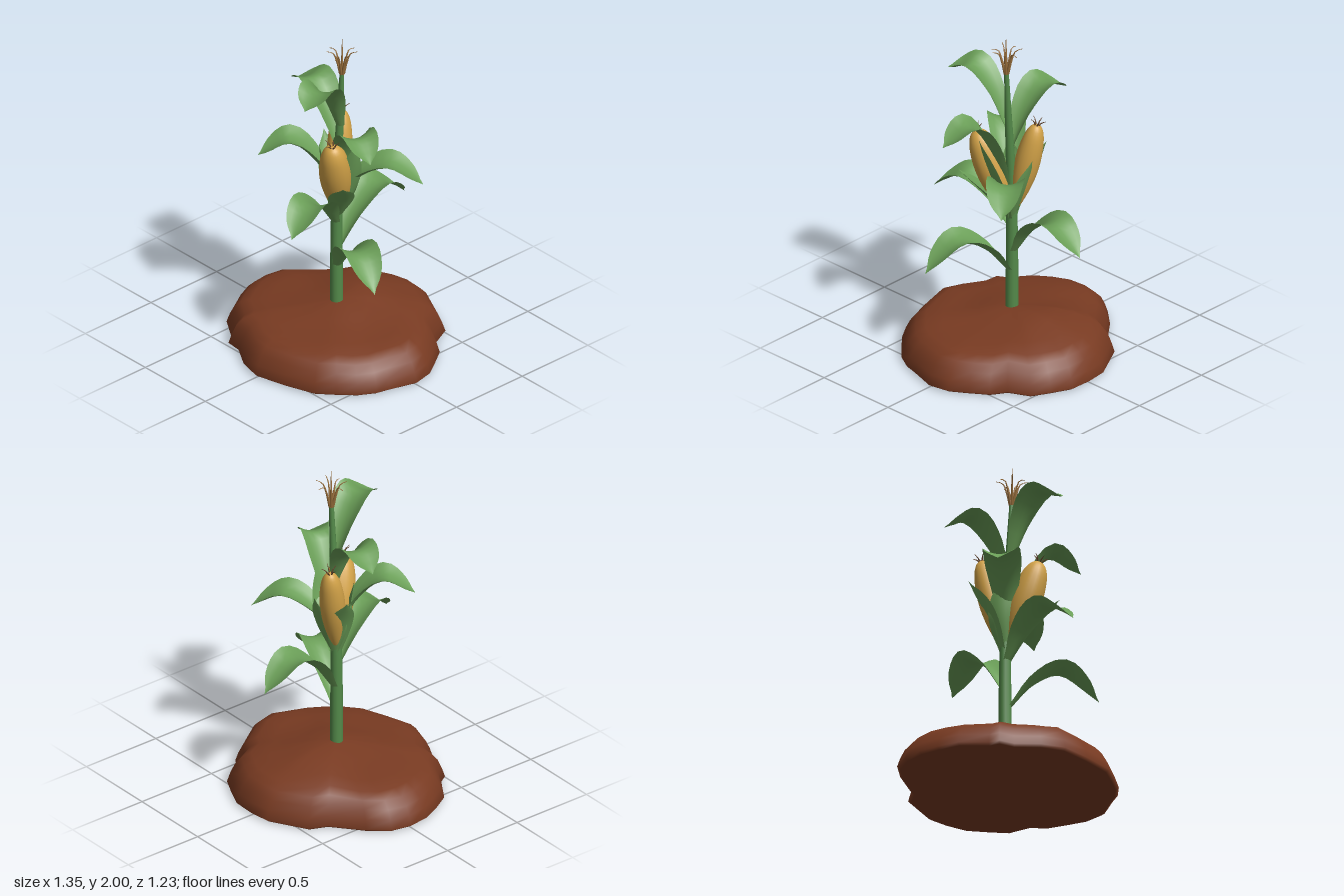
import * as THREE from 'three';

const V = (x, y, z) => new THREE.Vector3(x, y, z);
const mat = (name, color, side = THREE.FrontSide) =>
  Object.assign(new THREE.MeshStandardMaterial({ color, side }), { name });

const soilMat = mat('soil brown', 0x793b22);
const stalkMat = mat('stalk green', 0x548a4a);
const leafMat = mat('leaf green', 0x6b9f58, THREE.DoubleSide);
const earMat = mat('corn yellow', 0xd3a348);
const silkMat = mat('silk brown', 0x6b4a30);
const tasselMat = mat('tassel tan', 0xa0743f);

function mesh(name, geometry, material) {
  const m = new THREE.Mesh(geometry, material);
  m.name = name;
  return m;
}

// BufferGeometry from a grid of points, one row after another
function gridGeometry(rows, closed) {
  const n = rows[0].length, pos = [], index = [];
  rows.forEach(row => row.forEach(p => pos.push(p.x, p.y, p.z)));
  for (let r = 0; r < rows.length - 1; r++) {
    for (let i = 0; i < (closed ? n : n - 1); i++) {
      const j = (i + 1) % n;
      const a = r * n + i, b = r * n + j, c = a + n, d = b + n;
      index.push(a, c, b, b, c, d);
    }
  }
  const g = new THREE.BufferGeometry();
  g.setAttribute('position', new THREE.Float32BufferAttribute(pos, 3));
  g.setIndex(index);
  g.computeVertexNormals();
  return g;
}

// Tube whose radius follows a rule along its length
function taperTube(points, radius, seg, sides) {
  const curve = new THREE.CatmullRomCurve3(points);
  const g = new THREE.TubeGeometry(curve, seg, 1, sides);
  const p = g.attributes.position, v = V(0, 0, 0);
  for (let k = 0; k < p.count; k++) {
    const t = Math.floor(k / (sides + 1)) / seg, c = curve.getPointAt(t);
    v.fromBufferAttribute(p, k).sub(c).multiplyScalar(radius(t)).add(c);
    p.setXYZ(k, v.x, v.y, v.z);
  }
  return g;
}

// Irregular heap: an outline scaled ring by ring, raised towards the back
function soilMound() {
  const outline = [
    [.67, 0], [.62, .16], [.6, .24], [.545, .335], [.46, .42], [.365, .505], [.18, .57], [0, .615],
    [-.14, .58], [-.27, .5], [-.365, .49], [-.4, .435], [-.545, .34], [-.61, .23], [-.66, .12],
    [-.675, 0], [-.65, -.12], [-.555, -.23], [-.385, -.37], [-.34, -.475], [-.12, -.6], [0, -.615],
    [.135, -.61], [.255, -.555], [.36, -.5], [.42, -.375], [.51, -.32], [.58, -.22], [.645, -.12],
  ];
  const profile = [[.001, .005], [.6, .005], [.97, .005], [1, .02], [.97, .075], [.93, .13], [.87, .17],
    [.78, .195], [.62, .207], [.45, .225], [.3, .245], [.15, .26], [.001, .262]];
  const rows = profile.map(([s, y]) => outline.map(([x, z]) => {
    const px = x * s, pz = z * s;
    const bump = .055 * Math.exp(-(((px + .04) / .26) ** 2) - ((pz + .27) / .17) ** 2);
    const lump = .008 * Math.sin(px * 13 + 1) * Math.cos(pz * 11);
    return V(px, y > .1 ? y + bump + lump : y, pz);
  }));
  return mesh('soilMound', gridGeometry(rows, true), soilMat);
}

// Cupped blade along a curve; widths are half widths from base to tip
function blade(name, points, widths, cup) {
  const curve = new THREE.CatmullRomCurve3(points);
  const first = points[0], last = points[points.length - 1];
  const side = V(first.z - last.z, 0, last.x - first.x).normalize();
  const widthCurve = new THREE.SplineCurve(widths.map((w, i) => new THREE.Vector2(i, w)));
  const rows = [], seg = 14, cols = 6;
  for (let r = 0; r <= seg; r++) {
    const t = r / seg, p = curve.getPoint(t), w = Math.max(widthCurve.getPoint(t).y, .0005);
    const up = side.clone().cross(curve.getTangent(t)).normalize();
    const row = [];
    for (let c = 0; c <= cols; c++) {
      const s = c / cols * 2 - 1;
      row.push(p.clone().addScaledVector(side, s * w).addScaledVector(up, s * s * w * cup * (1 - .6 * t)));
    }
    rows.push(row);
  }
  return mesh(name, gridGeometry(rows, false), leafMat);
}

// Arching leaf: rises from the stalk to a peak, then droops to its tip
function leaf(baseX, baseY, peakY, tip) {
  const base = V(baseX, baseY, 0), end = V(...tip);
  base.lerp(V(end.x, baseY, end.z), .05);
  const at = (f, y) => { const p = base.clone().lerp(end, f); p.y = y; return p; };
  const rise = peakY - baseY;
  const points = [base, at(.27, baseY + rise * .62), at(.58, peakY - .015),
    at(.82, peakY - .015 - (peakY - end.y) * .4), end];
  return blade('leaf', points, [.03, .075, .105, .1, .066, 0], .55);
}

// Cob with silk hairs, placed along the line from base to top
function ear(base, top, width) {
  const g = new THREE.Group();
  g.name = 'ear';
  const axis = top.clone().sub(base), len = axis.length();
  const profile = [[0, 0], [.35, .1], [.68, .25], [.92, .42], [1, .58], [.95, .73], [.78, .87], [.5, .96], [.2, .995], [0, 1]]
    .map(([r, y]) => new THREE.Vector2(r * width, y * len));
  g.add(mesh('cob', new THREE.LatheGeometry(new THREE.SplineCurve(profile).getPoints(24)
    .map(p => p.set(Math.max(p.x, 0), p.y)), 20), earMat));
  for (let i = 0; i < 5; i++) {
    const a = i / 5 * Math.PI * 2 + .4, x = Math.cos(a), z = Math.sin(a);
    g.add(mesh('silk', taperTube([V(x * .008, len - .015, z * .008), V(x * .02, len + .015, z * .02),
      V(x * .045, len + .035, z * .045)], t => .006 * (1 - t * .8), 4, 5), silkMat));
  }
  g.position.copy(base);
  g.quaternion.setFromUnitVectors(V(0, 1, 0), axis.normalize());
  return g;
}

export function createModel() {
  const model = new THREE.Group();
  model.name = 'cornPlant';
  model.add(soilMound());

  // Stalk, leaning slightly near the top
  model.add(mesh('stalk', taperTube([V(0, .24, 0), V(0, .8, 0), V(.012, 1.2, 0), V(.03, 1.5, 0), V(.045, 1.79, 0)],
    t => .038 - .006 * t - .019 * t * t, 24, 12), stalkMat));

  // Leaves: base x, base y, peak y, tip
  [
    [0, .5, .77, [.515, .6, .18]],
    [0, .62, .92, [-.01, .765, -.525]],
    [0, .78, 1.05, [.145, .915, .475]],
    [.01, .98, 1.2, [.395, 1.075, -.3]],
    [.01, 1.0, 1.34, [-.28, 1.23, .345]],
    [.015, 1.02, 1.49, [.425, 1.39, .13]],
    [.02, 1.3, 1.63, [-.385, 1.54, -.045]],
    [.03, 1.43, 1.78, [.137, 1.71, .368]],
  ].forEach(spec => model.add(leaf(...spec)));

  // Ears
  model.add(ear(V(.02, .85, 0), V(.13, 1.385, .15), .09));
  model.add(ear(V(-.01, .87, -.01), V(-.085, 1.435, -.115), .072));

  // Husk blades hugging the ears: middle point and tip
  [
    [V(.13, 1.0, .08), V(.25, 1.17, .18)],
    [V(.14, 1.12, .02), V(.205, 1.38, .06)],
    [V(-.06, 1.06, .05), V(-.06, 1.3, .08)],
    [V(-.1, 1.08, -.04), V(-.195, 1.27, -.08)],
    [V(.02, 1.04, -.1), V(.0, 1.25, -.16)],
  ].forEach(([mid, tip]) => model.add(blade('husk', [V(.005, .84, 0).lerp(V(mid.x, .84, mid.z), .2), mid, tip],
    [.03, .062, .075, .055, 0], .5)));

  // Tassel: one upright spike ringed by outward-curving strands
  model.add(mesh('tasselSpike', taperTube([V(.045, 1.76, 0), V(.046, 1.88, 0), V(.048, 2, 0)],
    t => .01 * (1 - t * .9), 6, 6), tasselMat));
  for (let i = 0; i < 7; i++) {
    const a = i / 7 * Math.PI * 2 + .3, x = Math.cos(a), z = Math.sin(a);
    const at = (r, y) => V(.045 + x * r, y, z * r);
    model.add(mesh('tasselStrand', taperTube([at(.008, 1.77), at(.028, 1.85), at(.052, 1.91), at(.09, 1.925 - (i % 2) * .02)],
      t => .0095 * (1 - t * .85), 8, 5), tasselMat));
  }
  return model;
}
